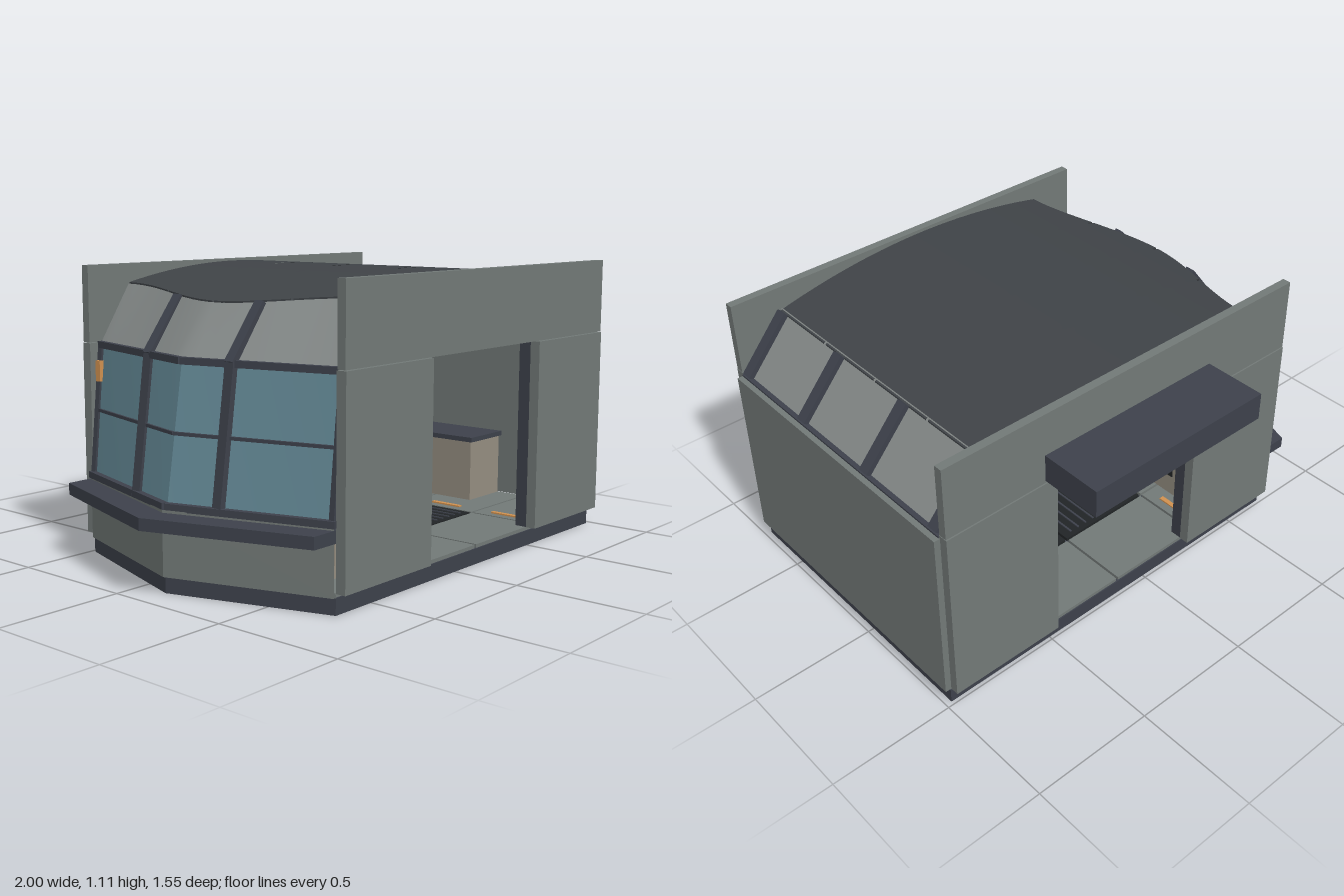
import * as THREE from 'three';
import { toCreasedNormals } from 'three/addons/utils/BufferGeometryUtils.js';
import { ParametricGeometry } from 'three/addons/geometries/ParametricGeometry.js';

const Z0 = -0.485, Z1 = 0.735, ZM = 0.125, HALF = 0.61;

export function createModel() {
  const model = new THREE.Group();
  const mat = (name, color) => {
    const m = new THREE.MeshStandardMaterial({ color, side: THREE.DoubleSide });
    m.name = name;
    return m;
  };
  const wall = mat('wall grey', 0x727977);
  const pale = mat('pale panel grey', 0x858a89);
  const roofMat = mat('roof charcoal', 0x3f4347);
  const trim = mat('blue charcoal trim', 0x3d414b);
  const black = mat('grate black', 0x212426);
  const glass = mat('window blue', 0x648996);
  const beige = mat('cabinet beige', 0x948d80);
  const amber = mat('amber light', 0xd0914f);

  const add = (name, geo, material, parent = model) => {
    const mesh = new THREE.Mesh(geo, material);
    mesh.name = name;
    parent.add(mesh);
    return mesh;
  };
  // Box given by its limits on each axis
  const box = (name, material, x0, x1, y0, y1, z0, z1) => {
    const mesh = add(name, new THREE.BoxGeometry(x1 - x0, y1 - y0, z1 - z0), material);
    mesh.position.set((x0 + x1) / 2, (y0 + y1) / 2, (z0 + z1) / 2);
    return mesh;
  };
  // Square bar between two points
  const bar = (name, material, p, q, w, h) => {
    const a = new THREE.Vector3(...p), b = new THREE.Vector3(...q);
    const mesh = add(name, new THREE.BoxGeometry(w, h, a.distanceTo(b)), material);
    mesh.position.copy(a).add(b).multiplyScalar(0.5);
    mesh.lookAt(b);
    return mesh;
  };
  // Horizontal slab from an outline of [x, z] points
  const slab = (name, material, pts, y0, y1) => {
    const shape = new THREE.Shape(pts.map(p => new THREE.Vector2(...p)));
    const geo = new THREE.ExtrudeGeometry(shape, { depth: y1 - y0, bevelEnabled: false });
    geo.rotateX(Math.PI / 2).translate(0, y1, 0);
    return add(name, geo, material);
  };
  // Ruled surface along z through section points [x, y]
  const skin = (name, material, section, z0, z1, nz, nv) => {
    const geo = new ParametricGeometry((u, v, t) => {
      const z = z0 + (z1 - z0) * u;
      const [x, y] = section(v, z);
      t.set(x, y, z);
    }, nz, nv);
    return add(name, toCreasedNormals(geo, 0.4), material);
  };

  // Pointed bay outline: x at the point and x at the ends
  const away = z => Math.min(1, Math.abs(z - ZM) / HALF);
  const vee = (point, end) => z => point + (end - point) * away(z);
  const ruled = (a, ya, b, yb) => (v, z) => {
    const y2 = typeof yb === 'function' ? yb(z) : yb;
    return [a(z) + (b(z) - a(z)) * v, ya + (y2 - ya) * v];
  };
  const roofY = x => 1.105 - 0.184 * (x - 0.1) ** 2;
  const roofEdge = z => {
    const t = away(z);
    return -0.63 + 0.14 * t * t * (3 - 2 * t);
  };

  // Base and floor tiles
  slab('floorBase', trim, [[-0.69, Z0], [0.975, Z0], [0.975, Z1], [-0.69, Z1], [-0.885, ZM]], 0, 0.06);
  const xs = [-0.69, -0.28, 0.14, 0.56, 0.975], zs = [Z0, -0.185, 0.12, 0.43, Z1];
  for (let i = 0; i < 4; i++) {
    for (let j = 0; j < 4; j++) {
      const grate = (i === 1 || i === 2) && (j === 1 || j === 2);
      const [a, b, c, d] = [xs[i] + 0.005, xs[i + 1] - 0.005, zs[j] + 0.005, zs[j + 1] - 0.005];
      box(grate ? 'floorGrate' : 'floorTile', grate ? black : wall, a, b, 0.06, 0.074, c, d);
      if (grate) for (let k = 1; k < 10; k++) {
        const x = a + (b - a) * k / 10;
        box('grateSlat', trim, x - 0.004, x + 0.004, 0.074, 0.078, c + 0.02, d - 0.02);
      }
    }
  }
  slab('bayFloor', wall, [[-0.69, Z0], [-0.69, Z1], [-0.88, ZM]], 0.06, 0.074);

  // Front and back walls with aligned doorways
  for (const [side, z0, z1, inner] of [['front', Z1, 0.775, -1], ['back', -0.525, Z0, 1]]) {
    box(side + 'WallHeader', wall, -0.69, 0.975, 0.82, 1.113, z0 + 0.003, z1 - 0.003);
    box(side + 'WallRightPanel', wall, -0.69, -0.21, 0.075, 0.817, z0, z1);
    box(side + 'WallLeftPanel', wall, 0.49, 0.975, 0.075, 0.817, z0, z1);
    const face = inner < 0 ? z0 : z1, edge = face + inner * 0.05;
    const [a, b] = [Math.min(face, edge), Math.max(face, edge)];
    box('doorJamb', trim, -0.25, -0.212, 0.075, 0.86, a, b);
    box('doorJamb', trim, 0.492, 0.53, 0.075, 0.86, a, b);
    box('doorLintel', trim, -0.212, 0.492, 0.823, 0.86, a, b);
    box('doorLight', amber, -0.18, 0.46, 0.835, 0.85, edge - 0.004, edge + 0.004);
  }
  box('backAwning', trim, -0.26, 0.545, 0.83, 0.94, -0.775, -0.52);

  // Left side wall, sloped clerestory and its ribs
  box('sideWall', wall, 0.972, 1, 0.075, 0.805, Z0 - 0.005, Z1);
  skin('clerestoryPanel', pale, ruled(() => 0.965, 0.805, () => 0.77, 1.025), Z0, Z1, 1, 1);
  for (const z of [0.705, 0.33, -0.06, -0.45])
    bar('clerestoryRib', trim, [0.965, 0.81, z], [0.78, 1.02, z], 0.045, 0.035);
  box('clerestorySill', trim, 0.955, 0.978, 0.795, 0.812, Z0, Z1);

  // Curved roof in four bays over a thin deck
  skin('roofDeck', wall, (v, z) => {
    const x = roofEdge(z) + (0.775 - roofEdge(z)) * v;
    return [x, roofY(x) - 0.014];
  }, Z0, Z1, 24, 24);
  for (let j = 0; j < 4; j++) {
    skin('roofPanel', roofMat, (v, z) => {
      const e = roofEdge(z), N = 24;
      const k = Math.round(v * (2 * N + 2));
      const top = k <= N;
      const t = top ? k / N : k > 2 * N + 1 ? 0 : 1 - (k - N - 1) / N;
      const x = e + (0.78 - e) * t;
      return [x, roofY(x) - (top || k > 2 * N + 1 ? 0 : 0.012)];
    }, zs[j] + 0.005, zs[j + 1] - 0.005, 8, 50);
  }

  // Ceiling lining, beams and panels
  const under = (name, material, x0, x1, drop, z0, z1) => skin(name, material, (v, z) => {
    const a = Math.max(x0, roofEdge(z)), x = a + (x1 - a) * v;
    return [x, roofY(x) - drop];
  }, z0, z1, 8, 12);
  under('ceiling', roofMat, -0.7, 0.77, 0.024, Z0, Z1);
  for (let j = 0; j < 4; j++) {
    const [a, b] = [zs[j] + 0.06, zs[j + 1] - 0.06];
    under('ceilingGrille', black, -0.15, 0.42, 0.03, a, b);
    under('ceilingLight', amber, -0.42, -0.24, 0.03, a, b);
    under('ceilingLight', amber, 0.5, 0.66, 0.03, a, b);
  }
  for (const z of zs.slice(1, 4)) {
    const pts = [];
    for (let x = roofEdge(z) + 0.03; x < 0.77; x += 0.13) pts.push(new THREE.Vector3(x, roofY(x) - 0.075, z));
    add('ceilingBeam', new THREE.TubeGeometry(new THREE.CatmullRomCurve3(pts), 24, 0.022, 8), trim);
  }

  // Pointed window bay: bulkhead, ledge, glass and sloped upper panel
  const low = vee(-0.895, -0.7), sill = vee(-0.87, -0.685), head = vee(-0.79, -0.635);
  skin('bayBulkhead', wall, ruled(low, 0.06, low, 0.3), Z0, Z1, 2, 1);
  slab('bayLedge', trim, [[-0.8, Z0 - 0.012], [-0.66, Z0 - 0.012], [-0.85, ZM], [-0.66, Z1], [-0.8, Z1], [-1, 0.12]], 0.245, 0.29);
  skin('bayGlass', glass, ruled(sill, 0.31, head, 0.815), Z0, Z1, 12, 1);
  skin('bayUpperPanel', pale, ruled(head, 0.815, roofEdge, z => roofY(roofEdge(z)) - 0.006), Z0, Z1, 24, 1);
  const at = (y, z) => [sill(z) + (head(z) - sill(z)) * (y - 0.31) / 0.505, y, z];
  for (const end of [Z0, Z1]) {
    bar('windowSill', trim, at(0.31, end), at(0.31, ZM), 0.045, 0.025);
    bar('windowTransom', trim, at(0.56, end), at(0.56, ZM), 0.018, 0.012);
    bar('windowHead', trim, at(0.81, end), at(0.81, ZM), 0.03, 0.025);
  }
  for (const z of [-0.095, 0.32]) {
    bar('windowMullion', trim, at(0.3, z), at(0.815, z), 0.04, 0.035);
    const e = roofEdge(z);
    bar('upperPanelRib', trim, [head(z) - 0.01, 0.81, z], [e, roofY(e) - 0.008, z], 0.04, 0.03);
  }
  for (const z of [Z0 + 0.012, Z1 - 0.012]) bar('windowPost', trim, at(0.3, z), at(0.815, z), 0.022, 0.025);
  box('bayLamp', amber, -0.67, -0.635, 0.67, 0.75, -0.48, -0.455);

  // Interior cabinets and floor lights
  box('ventCabinet', beige, -0.56, -0.38, 0.075, 0.31, -0.38, 0.08);
  box('cabinetVentPlate', black, -0.38, -0.376, 0.17, 0.22, -0.27, -0.03);
  for (let i = 0; i < 5; i++) {
    const z = -0.24 + i * 0.045;
    box('cabinetVent', beige, -0.376, -0.373, 0.185, 0.205, z - 0.012, z + 0.012);
  }
  box('consoleBase', beige, -0.56, -0.4, 0.075, 0.29, 0.22, 0.62);
  box('consoleTop', trim, -0.58, -0.38, 0.29, 0.33, 0.2, 0.64);
  box('storageCabinet', beige, 0.74, 0.96, 0.075, 0.33, -0.2, 0.3);
  box('storageTop', trim, 0.73, 0.965, 0.33, 0.35, -0.21, 0.31);
  for (const x of [-0.33, 0.61])
    for (const z of [-0.33, -0.03, 0.27, 0.57])
      box('floorLight', amber, x - 0.01, x + 0.01, 0.074, 0.08, z - 0.07, z + 0.07);

  return model;
}
